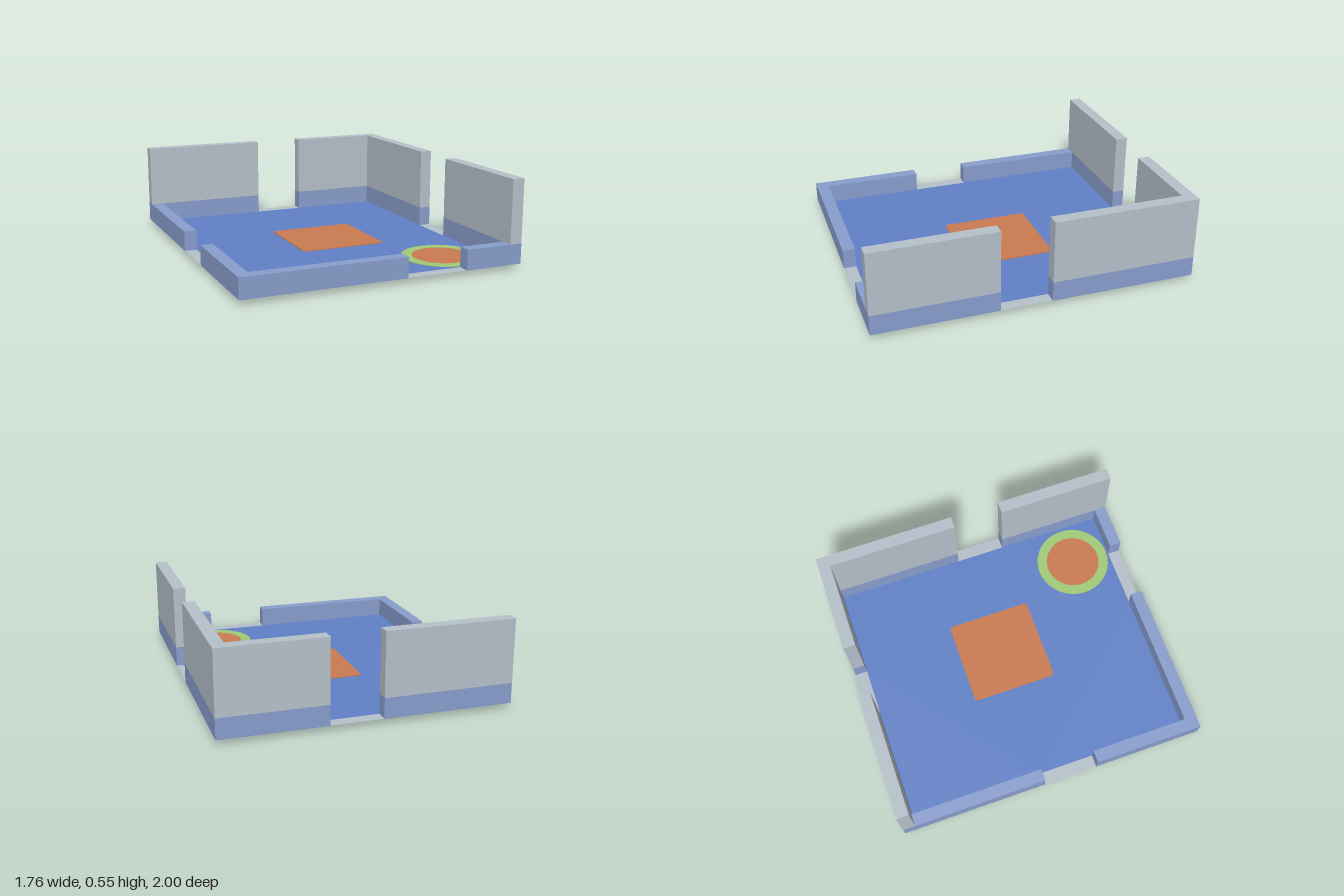
import * as THREE from 'three';
import { mergeVertices, toCreasedNormals } from 'three/addons/utils/BufferGeometryUtils.js';

const material = (name, color) =>
  new THREE.MeshStandardMaterial({ name, color, side: THREE.DoubleSide });

// Closed plan outline from [x, z] corners
const plan = (corners) => new THREE.Shape(corners.map(([x, z]) => new THREE.Vector2(x, -z)));
const rect = (x0, x1, z0, z1) => [[x0, z0], [x1, z0], [x1, z1], [x0, z1]];

// Flat sheet facing up at height y
const sheet = (shape, y, segments = 8) =>
  new THREE.ShapeGeometry(shape, segments).rotateX(-Math.PI / 2).translate(0, y, 0);

// Prism standing on a plan outline
const prism = (shape, y0, y1) =>
  new THREE.ExtrudeGeometry(shape, { depth: y1 - y0, bevelEnabled: false })
    .rotateX(-Math.PI / 2).translate(0, y0, 0);

// Open vertical band following a plan outline
function skirt(shape, y0, y1, segments = 8) {
  const pts = shape.getPoints(segments);
  if (pts[0].distanceTo(pts[pts.length - 1]) > 1e-6) pts.push(pts[0].clone());
  const pos = [], index = [];
  pts.forEach((p, i) => {
    pos.push(p.x, y0, -p.y, p.x, y1, -p.y);
    if (i) {
      const a = 2 * (i - 1);
      index.push(a, a + 2, a + 3, a, a + 3, a + 1);
    }
  });
  const g = new THREE.BufferGeometry();
  g.setAttribute('position', new THREE.Float32BufferAttribute(pos, 3));
  g.setIndex(index);
  return toCreasedNormals(mergeVertices(g), 0.6);
}

function roundedSquare(x0, x1, z0, z1, r) {
  const s = new THREE.Shape(), a = -z1, b = -z0;
  s.absarc(x1 - r, a + r, r, -Math.PI / 2, 0);
  s.absarc(x1 - r, b - r, r, 0, Math.PI / 2);
  s.absarc(x0 + r, b - r, r, Math.PI / 2, Math.PI);
  s.absarc(x0 + r, a + r, r, Math.PI, Math.PI * 1.5);
  s.closePath();
  return s;
}

function circle(x, z, r) {
  const s = new THREE.Shape();
  s.absarc(x, -z, r, 0, Math.PI * 2);
  return s;
}

export function createModel() {
  const group = new THREE.Group();
  const floorBlue = material('floorBlue', 0x6080c6);
  const wallBlue = material('wallBlue', 0x889dcc);
  const wallGrey = material('wallGrey', 0xb5bfc9);
  const orange = material('rugOrange', 0xc97a50);
  const green = material('rugGreen', 0xa0c976);

  const add = (name, geometry, mat) => {
    const mesh = new THREE.Mesh(geometry, mat);
    mesh.name = name;
    group.add(mesh);
  };

  // Outer and inner faces of the walls, and heights
  const X = 0.88, x = 0.803, Z = 1, z = 0.923;
  const FLOOR = 0.033, BASE = 0.035, LOW = 0.157, HIGH = 0.55;

  // Doorway limits along each wall
  const back = [-0.085, 0.235], right = [-0.087, 0.235];
  const front = [0.125, 0.51], left = [-0.063, 0.292];

  // Floor, notched at the doorways
  add('floor', sheet(plan([
    [-X, -Z], [back[0], -Z], [back[0], -z], [back[1], -z], [back[1], -Z], [X, -Z],
    [X, right[0]], [x, right[0]], [x, right[1]], [X, right[1]], [X, Z],
    [front[1], Z], [front[1], z], [front[0], z], [front[0], Z], [-X, Z],
    [-X, left[1]], [-x, left[1]], [-x, left[0]], [-X, left[0]],
  ]), FLOOR), floorBlue);

  // Thresholds in the doorways
  const thresholds = {
    backThreshold: rect(...back, -Z, -z),
    rightThreshold: rect(x, X, ...right),
    frontThreshold: rect(...front, z, Z),
    leftThreshold: rect(-X, -x, ...left),
  };
  for (const [name, corners] of Object.entries(thresholds)) {
    add(name, sheet(plan(corners), FLOOR), wallGrey);
  }

  // Tall walls: blue skirting band with grey above
  const tallWalls = {
    backWall: rect(-X, back[0], -Z, -z),
    cornerWall: [[back[1], -Z], [X, -Z], [X, right[0]], [x, right[0]], [x, -z], [back[1], -z]],
    sideWall: rect(x, X, right[1], Z),
  };
  for (const [name, corners] of Object.entries(tallWalls)) {
    add(name + 'Band', prism(plan(corners), BASE, LOW), wallBlue);
    add(name + 'Upper', prism(plan(corners), LOW, HIGH), wallGrey);
  }

  // Low cut-away walls
  const lowWalls = {
    lowSideWall: rect(-X, -x, -z, left[0]),
    lowCornerWall: [[-X, left[1]], [-x, left[1]], [-x, z], [front[0], z], [front[0], Z], [-X, Z]],
    lowFrontWall: rect(front[1], x, z, Z),
  };
  for (const [name, corners] of Object.entries(lowWalls)) {
    add(name, prism(plan(corners), BASE, LOW), wallBlue);
  }

  // Square rug, open underneath
  const square = roundedSquare(-0.205, 0.347, -0.302, 0.252, 0.025);
  add('squareRugTop', sheet(square, 0.038), orange);
  add('squareRugEdge', skirt(square, 0, 0.038), orange);

  // Round rug: green border around an orange centre
  const outer = circle(0.535, 0.665, 0.246), inner = circle(0.535, 0.665, 0.181);
  add('roundRugEdge', skirt(outer, 0.022, 0.037, 48), green);
  add('roundRugCentre', sheet(inner, 0.037, 48), orange);
  const border = circle(0.535, 0.665, 0.246);
  border.holes.push(inner);
  add('roundRugBorder', sheet(border, 0.037, 48), green);

  return group;
}
